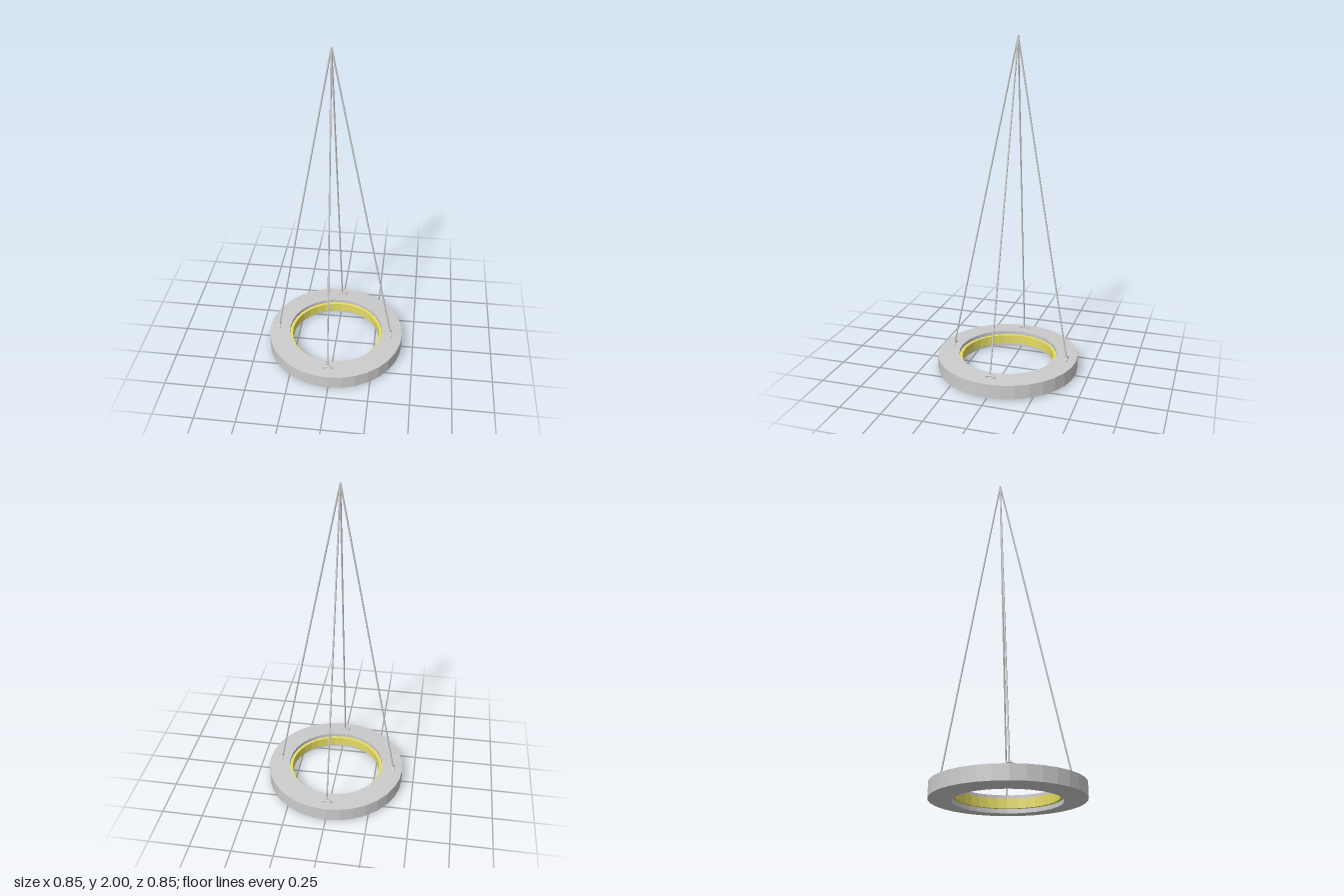
import * as THREE from 'three';

const SEGMENTS = 32;

// Closed ring turned from a cross-section of [radius, height] corners
function ring(name, corners, material) {
  const points = [...corners, corners[0]].map(([r, y]) => new THREE.Vector2(r, y));
  const mesh = new THREE.Mesh(new THREE.LatheGeometry(points, SEGMENTS), material);
  mesh.name = name;
  return mesh;
}

export function createModel() {
  const model = new THREE.Group();
  model.name = 'pendantRingLamp';

  const grey = new THREE.MeshStandardMaterial({ color: 0xcccccc });
  const greyFlat = new THREE.MeshStandardMaterial({ color: 0xcccccc, flatShading: true });
  const yellow = new THREE.MeshStandardMaterial({ color: 0xe6dc64, flatShading: true });

  // Ring body, slightly thicker towards the hole
  model.add(ring('ringBody', [
    [0.298, 0], [0.427, 0.01], [0.427, 0.094], [0.298, 0.102],
  ], greyFlat));

  // Light band set into the inner wall
  model.add(ring('lightBand', [
    [0.28, 0.024], [0.3, 0.024], [0.3, 0.08], [0.28, 0.08],
  ], yellow));

  // Four eyelets, each holding a cable that runs to the shared apex
  const apex = new THREE.Vector3(-0.03, 1.995, -0.05);
  const anchors = [
    { side: 'left', x: 0.353, z: 0, turn: Math.PI / 2 },
    { side: 'right', x: -0.37, z: 0, turn: Math.PI / 2 },
    { side: 'front', x: -0.01, z: 0.353, turn: 0 },
    { side: 'back', x: 0, z: -0.368, turn: 0 },
  ];
  const eyeletGeometry = new THREE.TorusGeometry(0.027, 0.008, 10, 16, Math.PI);
  eyeletGeometry.scale(1, 0.65, 1);

  for (const { side, x, z, turn } of anchors) {
    const eyelet = new THREE.Mesh(eyeletGeometry, grey);
    eyelet.name = side + 'Eyelet';
    eyelet.position.set(x, 0.096, z);
    eyelet.rotation.y = turn;
    model.add(eyelet);

    const path = new THREE.LineCurve3(new THREE.Vector3(x, 0.105, z), apex);
    const cable = new THREE.Mesh(new THREE.TubeGeometry(path, 1, 0.005, 8), grey);
    cable.name = side + 'Cable';
    model.add(cable);
  }

  // Small cap joining the cables
  const joint = new THREE.Mesh(new THREE.SphereGeometry(0.006, 10, 8), grey);
  joint.name = 'cableJoint';
  joint.position.copy(apex).setY(1.994);
  model.add(joint);

  return model;
}
